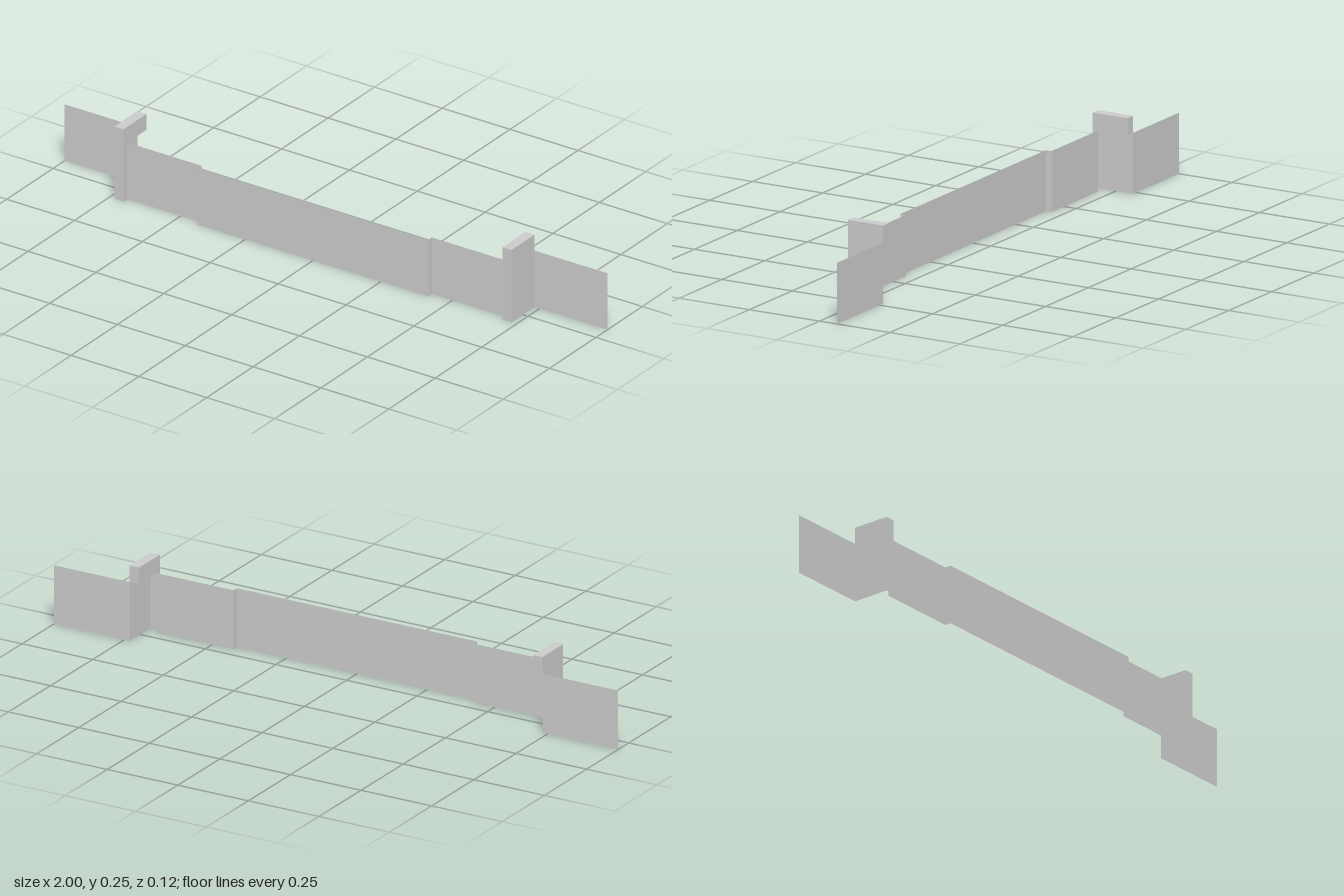
import * as THREE from 'three';

const H = 0.193;                  // wall height
const POST_H = 0.247;             // post height
const FRONT = 0.062, RECESS = 0.042, BACK = -0.062;
const STEP_X = 0.425, POST_IN = 0.698, POST_OUT = 0.731;

export function createModel() {
  const model = new THREE.Group();
  const grey = new THREE.MeshStandardMaterial({ color: 0xcccccc, side: THREE.DoubleSide });
  grey.name = 'paleGrey';

  const add = (parent, name, geometry) => {
    const mesh = new THREE.Mesh(geometry, grey);
    mesh.name = name;
    parent.add(mesh);
  };

  // sheet across x at depth z; facing = 1 for front, -1 for back
  const sheetX = (parent, name, xa, xb, y0, y1, z, facing = 1) => {
    const g = new THREE.PlaneGeometry(Math.abs(xb - xa), y1 - y0);
    if (facing < 0) g.rotateY(Math.PI);
    add(parent, name, g.translate((xa + xb) / 2, (y0 + y1) / 2, z));
  };

  // sheet across z at position x; facing = 1 for +x, -1 for -x
  const sheetZ = (parent, name, z0, z1, y0, y1, x, facing) => {
    const g = new THREE.PlaneGeometry(z1 - z0, y1 - y0);
    g.rotateY(facing * Math.PI / 2);
    add(parent, name, g.translate(x, (y0 + y1) / 2, (z0 + z1) / 2));
  };

  // long middle wall, standing proud of its neighbours
  sheetX(model, 'centrePanel', -STEP_X, STEP_X, 0, H, FRONT);

  for (const s of [1, -1]) {
    const side = new THREE.Group();
    side.name = s > 0 ? 'leftWing' : 'rightWing';
    model.add(side);

    // stepped wall panels
    sheetZ(side, 'panelStep', RECESS, FRONT, 0, H, s * STEP_X, s);
    sheetX(side, 'recessedPanel', s * STEP_X, s * POST_IN, 0, H, RECESS);
    sheetX(side, 'outerPanel', s * POST_OUT, s, 0, H, BACK);

    // post shell, open behind the walls and closed above them
    const post = new THREE.Group();
    post.name = 'post';
    side.add(post);
    sheetX(post, 'postFront', s * POST_IN, s * POST_OUT, 0, POST_H, FRONT);
    sheetZ(post, 'postOuterFace', BACK, FRONT, 0, POST_H, s * POST_OUT, s);
    sheetZ(post, 'postInnerEdge', RECESS, FRONT, 0, H, s * POST_IN, -s);
    sheetZ(post, 'postInnerCap', BACK, FRONT, H, POST_H, s * POST_IN, -s);
    sheetX(post, 'postBackCap', s * POST_IN, s * POST_OUT, H, POST_H, BACK, -1);
    const top = new THREE.PlaneGeometry(POST_OUT - POST_IN, FRONT - BACK);
    top.rotateX(-Math.PI / 2);
    add(post, 'postTop', top.translate(s * (POST_IN + POST_OUT) / 2, POST_H, 0));
  }
  return model;
}
